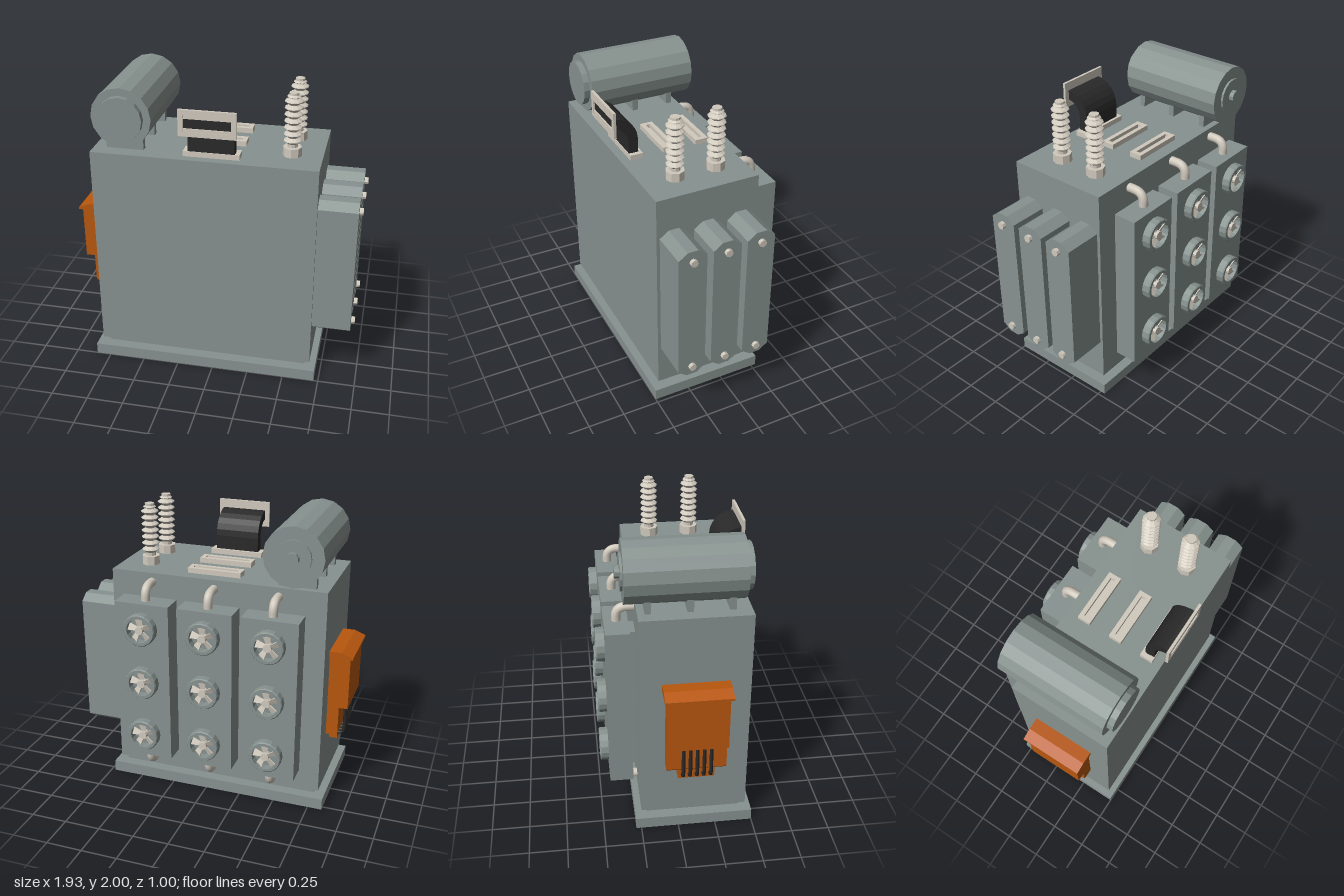
import * as THREE from 'three';

const mat = (name, color) => Object.assign(new THREE.MeshStandardMaterial({ color }), { name });

export function createModel() {
  const root = new THREE.Group();
  root.name = 'powerTransformer';
  const grey = mat('tankGrey', 0x87928f);
  const beige = mat('porcelainBeige', 0xd0c9bd);
  const black = mat('rubberBlack', 0x292929);
  const orange = mat('cabinetOrange', 0xb8570e);

  const add = (name, geo, material, x = 0, y = 0, z = 0, parent = root) => {
    const m = new THREE.Mesh(geo, material);
    m.name = name;
    m.position.set(x, y, z);
    parent.add(m);
    return m;
  };
  const flat = (g) => {
    const n = g.index ? g.toNonIndexed() : g;
    n.computeVertexNormals();
    return n;
  };
  // Box given by its limits on each axis
  const box = (name, material, x0, x1, y0, y1, z0, z1, parent) =>
    add(name, new THREE.BoxGeometry(x1 - x0, y1 - y0, z1 - z0), material,
      (x0 + x1) / 2, (y0 + y1) / 2, (z0 + z1) / 2, parent);
  const polygon = (pts) => new THREE.Shape(pts.map(([a, b]) => new THREE.Vector2(a, b)));
  const extrude = (shape, depth) => new THREE.ExtrudeGeometry(shape, { depth, bevelEnabled: false });
  const rect = (w, h) => [[-w / 2, -h / 2], [w / 2, -h / 2], [w / 2, h / 2], [-w / 2, h / 2]];
  // Rectangular frame in the xy plane, extruded along z
  const frame = (w, h, t, depth) => {
    const s = polygon(rect(w, h));
    s.holes.push(polygon(rect(w - 2 * t, h - 2 * t)));
    return extrude(s, depth);
  };
  const layFlat = (g) => g.rotateX(-Math.PI / 2);
  const cylZ = (r, len, sides) => flat(new THREE.CylinderGeometry(r, r, len, sides).rotateX(Math.PI / 2));
  const lathe = (pts, sides) => flat(new THREE.LatheGeometry(pts.map(([a, b]) => new THREE.Vector2(a, b)), sides));

  // Hollow tank, open from below, on a stepped base frame
  const cx = -0.065, cz = 0.1075;
  add('baseFrame', layFlat(frame(1.57, 0.785, 0.08, 0.08)), grey, cx, 0, cz);
  add('baseStep', layFlat(frame(1.42, 0.635, 0.015, 0.04)), grey, cx, 0.08, cz);
  add('tankWalls', layFlat(frame(1.49, 0.705, 0.05, 1.42)), grey, cx, 0.12, cz);
  box('tankLid', grey, -0.81, 0.68, 1.54, 1.57, -0.245, 0.46);

  // Conservator drum with end discs and saddle feet
  const drum = new THREE.Group();
  drum.name = 'conservator';
  drum.position.set(-0.6, 1.803, 0);
  root.add(drum);
  add('drum', cylZ(0.2, 0.745, 16), grey, 0, 0, 0.0475, drum);
  add('frontCover', cylZ(0.15, 0.04, 16), grey, 0, 0, 0.44, drum);
  add('backCover', cylZ(0.118, 0.015, 16), grey, 0, 0, -0.3325, drum);
  add('backKnob', cylZ(0.042, 0.03, 10), grey, 0, 0, -0.355, drum);
  for (const z of [0.34, 0.08, -0.18]) box('foot', grey, -0.125, 0.125, -0.233, -0.09, z - 0.02, z + 0.02, drum);

  // Slotted flanges on the lid
  for (const z of [-0.1125, 0.1225, 0.355]) {
    add('lidFlange', layFlat(frame(0.37, 0.09, 0.03, 0.035)), beige, -0.018, 1.57, z);
    box('flangeSlot', beige, -0.175, 0.14, 1.57, 1.579, z - 0.02, z + 0.02);
  }

  // Curved duct: a quarter-arc profile swept across its width
  const duct = [[0.395, 1.585], [0.33, 1.585]];
  const steps = 6;
  for (let i = 0; i <= steps; i++) {
    const a = (i / steps) * Math.PI / 2;
    duct.push([0.495 - 0.165 * Math.cos(a), 1.7 + 0.165 * Math.sin(a)]);
  }
  for (let i = steps; i >= 0; i--) {
    const a = (i / steps) * Math.PI / 2;
    duct.push([0.495 - 0.1 * Math.cos(a), 1.7 + 0.1 * Math.sin(a)]);
  }
  const ductGeo = extrude(polygon(duct), 0.305).rotateY(-Math.PI / 2);
  // After the turn the profile's first axis runs along z
  add('duct', ductGeo, black, 0.135, 0, 0);
  add('ductFlange', frame(0.37, 0.175, 0.032, 0.018), beige, -0.018, 1.837, 0.487);
  const mouthFill = [1.75 + 0.03, 1.802];
  box('ductFlangeLip', beige, -0.17, 0.135, mouthFill[0], mouthFill[1], 0.488, 0.504);
  box('ductFlangeBrow', beige, -0.17, 0.135, 1.866, 1.9, 0.488, 0.504);

  // Bushings with a stack of sheds
  const sheds = [[0, 1.63], [0.034, 1.63], [0.034, 1.65]];
  for (let i = 0; i < 7; i++) {
    const y = 1.652 + i * 0.044;
    sheds.push([0.034, y], [0.06, y + 0.02], [0.058, y + 0.025], [0.032, y + 0.04]);
  }
  sheds.push([0.032, 1.962], [0.045, 1.968], [0.032, 1.978], [0.032, 1.993], [0, 1.993]);
  for (const z of [0.237, -0.047]) {
    const b = new THREE.Group();
    b.name = 'bushing';
    b.position.set(0.48, 0, z);
    root.add(b);
    add('bushingFoot', flat(new THREE.CylinderGeometry(0.062, 0.062, 0.06, 8)), beige, 0, 1.6, 0, b);
    add('bushingSheds', lathe(sheds, 10), beige, 0, 0, 0, b);
  }

  // Side radiators: chamfered slabs with end bolts
  const hw = 0.096, hh = 0.4875, a = 0.06, c = 0.045;
  const slab = polygon([[-hw, -hh + c], [-hw + a, -hh], [hw - a, -hh], [hw, -hh + c],
    [hw, hh - c], [hw - a, hh], [-hw + a, hh], [-hw, hh - c]]);
  for (const z of [0.343, 0.107, -0.127]) {
    add('radiator', extrude(slab, 0.26).rotateY(Math.PI / 2), grey, 0.68, 0.8525, z);
    for (const y of [1.265, 0.435])
      add('radiatorBolt', flat(new THREE.CylinderGeometry(0.025, 0.025, 0.03, 8).rotateZ(Math.PI / 2)), beige, 0.95, y, z);
  }

  // Rear coolers with fans and bent pipes
  const ring = lathe([[0.086, 0], [0.112, 0], [0.112, 0.048], [0.106, 0.056], [0.086, 0.056], [0.086, 0]], 16)
    .rotateX(-Math.PI / 2);
  const blade = extrude(polygon([[0.015, -0.012], [0.08, -0.032], [0.084, 0.02], [0.015, 0.014]]), 0.006)
    .rotateX(0.4);
  const bend = (y0, y1, ym) => {
    const p = new THREE.CurvePath();
    const v = (y, z) => new THREE.Vector3(0, y, z);
    const s = Math.sign(y1 - y0);
    p.add(new THREE.LineCurve3(v(y0, -0.235), v(y0, -0.29)));
    p.add(new THREE.QuadraticBezierCurve3(v(y0, -0.29), v(y0, -0.36), v(ym, -0.36)));
    p.add(new THREE.LineCurve3(v(ym, -0.36), v(y1 + s * 0.01, -0.36)));
    return new THREE.TubeGeometry(p, 20, 0.03, 10);
  };
  const upperPipe = bend(1.508, 1.41, 1.44), lowerPipe = bend(0.19, 0.29, 0.26);
  for (const x of [-0.49, -0.05, 0.39]) {
    const cooler = new THREE.Group();
    cooler.name = 'cooler';
    cooler.position.x = x;
    root.add(cooler);
    box('coolerBody', grey, -0.19, 0.19, 0.285, 1.415, -0.44, -0.285, cooler);
    box('coolerMount', grey, -0.07, 0.07, 0.335, 1.36, -0.29, -0.24, cooler);
    add('upperPipe', upperPipe, beige, 0, 0, 0, cooler);
    add('lowerPipe', lowerPipe, beige, 0, 0, 0, cooler);
    for (const y of [1.245, 0.855, 0.46]) {
      add('fanRing', ring, grey, 0, y, -0.44, cooler);
      add('fanHub', cylZ(0.028, 0.05, 10), beige, 0, y, -0.465, cooler);
      for (let i = 0; i < 5; i++)
        add('fanBlade', blade, beige, 0, y, -0.468, cooler).rotation.z = (i * 2 * Math.PI) / 5 + 0.3;
    }
  }

  // Control cabinet: profile in xy extruded along z, with a sloped lid
  const cabinet = new THREE.Group();
  cabinet.name = 'controlCabinet';
  root.add(cabinet);
  box('cabinetBody', orange, -0.95, -0.81, 0.7, 1.075, -0.085, 0.305, cabinet);
  const lid = polygon([[-0.97, 1.07], [-0.81, 1.07], [-0.81, 1.115], [-0.895, 1.115], [-0.97, 1.085]]);
  add('cabinetLid', extrude(lid, 0.43), orange, 0, 0, -0.105, cabinet);
  const lower = polygon([[-0.89, 0.51], [-0.87, 0.49], [-0.81, 0.49], [-0.81, 0.7], [-0.89, 0.7]]);
  add('cabinetLower', extrude(lower, 0.39), orange, 0, 0, -0.085, cabinet);
  box('cableBox', orange, -0.875, -0.82, 0.425, 0.495, -0.01, 0.23, cabinet);

  // Row of cables from the cabinet into the cable box
  const cable = new THREE.CatmullRomCurve3([[-0.917, 0.71], [-0.917, 0.6], [-0.917, 0.5], [-0.905, 0.465], [-0.865, 0.455]]
    .map(([x, y]) => new THREE.Vector3(x, y, 0)));
  const cableGeo = new THREE.TubeGeometry(cable, 18, 0.012, 8);
  for (let i = 0; i < 5; i++) add('cable', cableGeo, black, 0, 0, 0.02 + i * 0.045, cabinet);

  return root;
}
